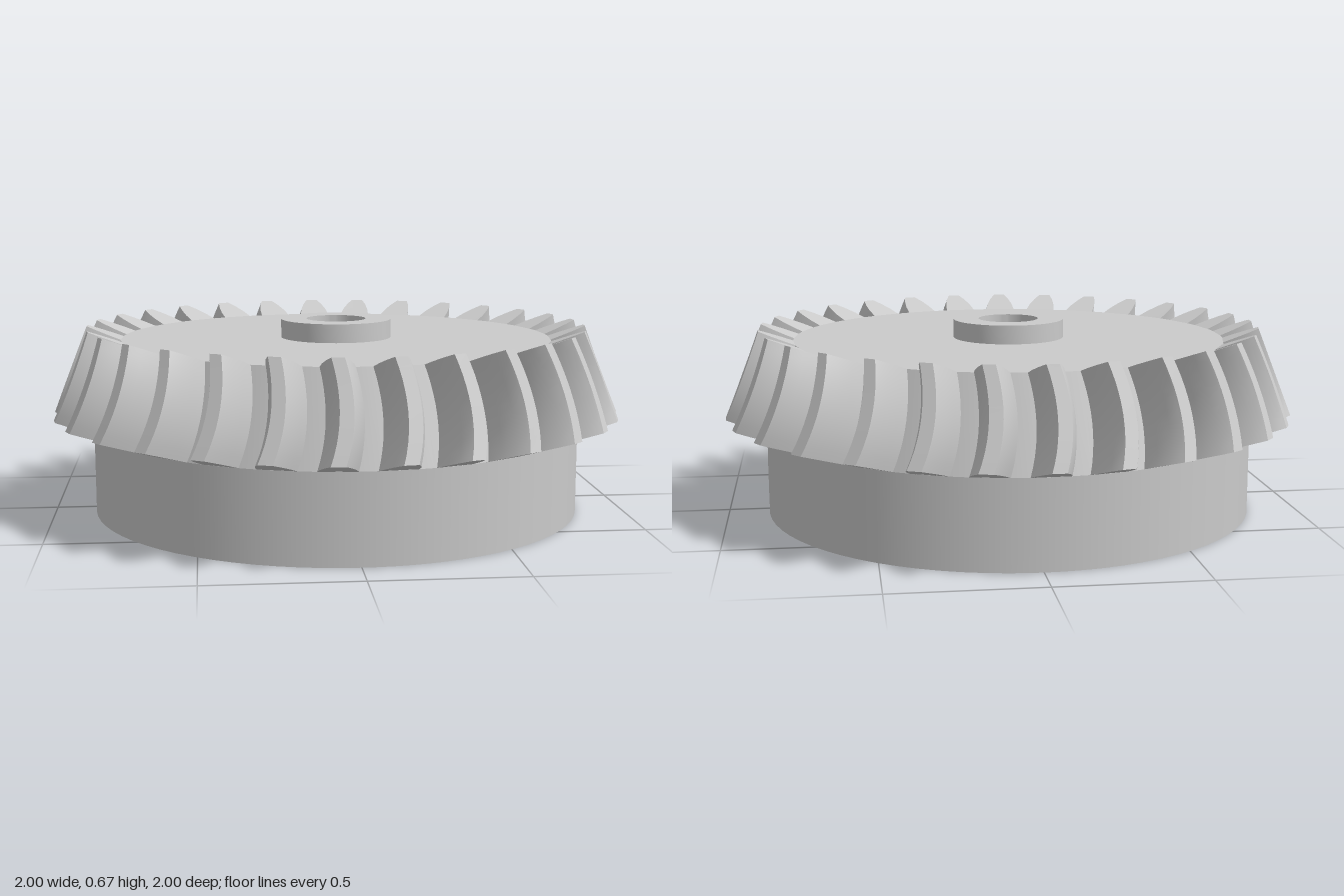
import * as THREE from 'three';
import { toCreasedNormals } from 'three/addons/utils/BufferGeometryUtils.js';

const R = 0.86;          // rim radius
const RIM = 0.30;        // rim height
const BORE = 0.105;
const TEETH = 29;
const HOLE = { y: 0.13, r: 0.054 };
const SLOT = { x0: 0.415, x1: 0.5, z: 0.095, depth: 0.22 };

const lerp = THREE.MathUtils.lerp;

// Turn a geometry inside out, so that it shows as a cavity
function inward(geo, keep = () => true) {
  geo.setIndex(Array.from(geo.index.array).filter((_, i) => keep(i)).reverse());
  geo.computeVertexNormals();
  return geo;
}

// Curved tooth: one rounded profile swept up the cone along a bowed line
function toothGeometry() {
  const half = [[-0.12, 0.066], [0, 0.063], [0.35, 0.056], [0.7, 0.042], [0.95, 0.027], [1, 0.023]];
  const profile = [
    ...half.map(([h, w]) => [h, -w]),
    ...half.slice().reverse(),
  ];
  const n = profile.length, steps = 10, pos = [], idx = [];
  for (let i = 0; i <= steps; i++) {
    const s = i / steps;
    const bow = 0.11 * s * (1 - s);
    for (const [h, w] of profile) {
      const r = lerp(lerp(R, 0.76, s), lerp(1, 0.88, s), h);
      const y = lerp(lerp(RIM, 0.605, s), lerp(0.345, 0.65, s), h);
      const a = bow + w * (1 - 0.12 * s) / r;
      pos.push(r * Math.sin(a), y, r * Math.cos(a));
    }
  }
  for (let i = 0; i < steps; i++) {
    for (let j = 0; j < n - 1; j++) {
      const a = i * n + j, b = a + 1, c = b + n, d = a + n;
      idx.push(a, b, c, a, c, d);
    }
  }
  // End faces
  const top = steps * n;
  for (let j = 1; j < n - 1; j++) {
    idx.push(0, j + 1, j, top, top + j, top + j + 1);
  }
  const geo = new THREE.BufferGeometry();
  geo.setAttribute('position', new THREE.Float32BufferAttribute(pos, 3));
  geo.setIndex(idx);
  return toCreasedNormals(geo, 0.5);
}

// Piece of the rim wall with the screw hole, bent round the +x side
function holePatch(halfAngle) {
  const w = halfAngle * R;
  const shape = new THREE.Shape();
  shape.moveTo(-w, 0).lineTo(0, 0).lineTo(w, 0).lineTo(w, RIM).lineTo(0, RIM).lineTo(-w, RIM).closePath();
  shape.holes.push(new THREE.Path().absarc(0, HOLE.y, HOLE.r, 0, Math.PI * 2, true));
  const geo = new THREE.ShapeGeometry(shape, 24);
  const p = geo.attributes.position, nrm = geo.attributes.normal;
  for (let i = 0; i < p.count; i++) {
    const t = p.getX(i) / R;
    p.setXYZ(i, R * Math.cos(t), p.getY(i), -R * Math.sin(t));
    nrm.setXYZ(i, Math.cos(t), 0, -Math.sin(t));
  }
  return geo;
}

export function createModel() {
  const group = new THREE.Group();
  group.name = 'spiralBevelGear';
  const grey = new THREE.MeshStandardMaterial({ color: 0xcacaca });
  grey.name = 'grey';

  function add(name, geo, parent = group) {
    const mesh = new THREE.Mesh(geo, grey);
    mesh.name = name;
    parent.add(mesh);
    return mesh;
  }

  // Root cone, top face, hub and bore
  const outline = [[R, RIM], [0.76, 0.605], [0.195, 0.605], [0.195, 0.67], [BORE, 0.67], [BORE, 0]]
    .map(([x, y]) => new THREE.Vector2(x, y));
  add('coneHubAndBore', toCreasedNormals(new THREE.LatheGeometry(outline, 72), 0.5));

  // Rim wall, leaving a gap for the patch with the screw hole
  const gap = 0.09;
  const wall = new THREE.CylinderGeometry(R, R, RIM, 72, 1, true, Math.PI / 2 + gap, Math.PI * 2 - gap * 2);
  wall.translate(0, RIM / 2, 0);
  add('rimWall', wall);
  add('rimHolePatch', holePatch(gap));

  // Underside with bore and nut slot
  const base = new THREE.Shape().absarc(0, 0, R, 0, Math.PI * 2, false);
  base.holes.push(new THREE.Path().absarc(0, 0, BORE, 0, Math.PI * 2, true));
  base.holes.push(new THREE.Path()
    .moveTo(SLOT.x0, -SLOT.z).lineTo(SLOT.x0, SLOT.z)
    .lineTo(SLOT.x1, SLOT.z).lineTo(SLOT.x1, -SLOT.z).closePath());
  add('underside', new THREE.ShapeGeometry(base, 72).rotateX(Math.PI / 2));

  // Nut slot: a box without its lower face, inside out
  const slot = new THREE.BoxGeometry(SLOT.x1 - SLOT.x0, SLOT.depth, SLOT.z * 2);
  slot.translate((SLOT.x0 + SLOT.x1) / 2, SLOT.depth / 2, 0);
  add('nutSlot', inward(slot, (i) => i < 18 || i >= 24));

  // Screw hole from the rim to the slot
  const end = R - 0.002;
  const screw = new THREE.CylinderGeometry(HOLE.r, HOLE.r, end - SLOT.x1, 24, 1, true);
  screw.rotateZ(Math.PI / 2).translate((end + SLOT.x1) / 2, HOLE.y, 0);
  add('screwHole', inward(screw));

  // Ring of teeth
  const ring = new THREE.Group();
  ring.name = 'teeth';
  group.add(ring);
  const tooth = toothGeometry();
  for (let i = 0; i < TEETH; i++) {
    add('tooth', tooth, ring).rotation.y = -0.085 + (i / TEETH) * Math.PI * 2;
  }
  return group;
}
